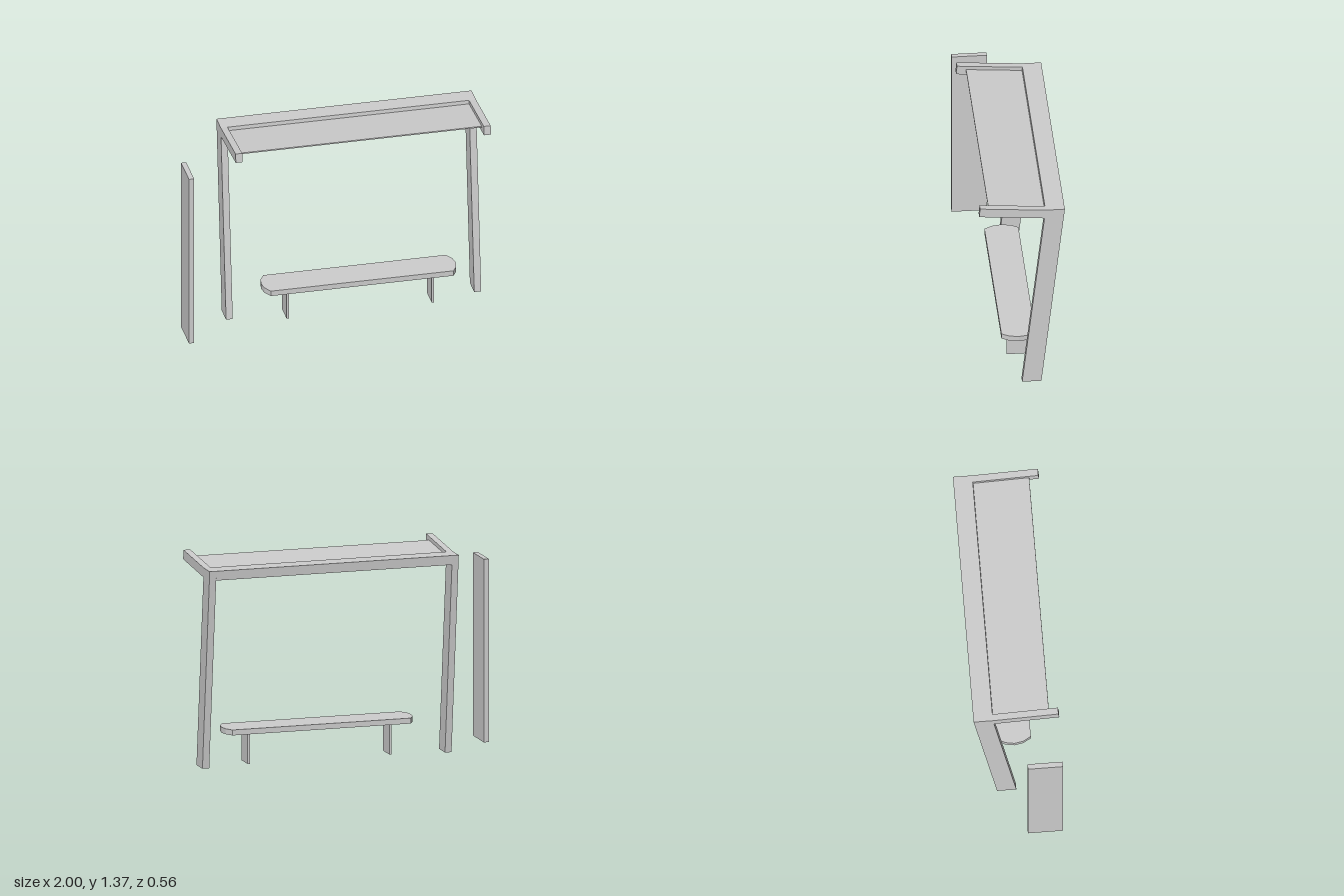
import * as THREE from 'three';

const grey = new THREE.MeshStandardMaterial({ color: 0xcccccc, flatShading: true });

// Extrudes a (z, y) side profile across x0..x1
function profileAlongX(name, points, x0, x1) {
  const shape = new THREE.Shape(points.map(([z, y]) => new THREE.Vector2(z, y)));
  const geometry = new THREE.ExtrudeGeometry(shape, { depth: x1 - x0, bevelEnabled: false });
  geometry.rotateY(-Math.PI / 2).translate(x1, 0, 0);
  const mesh = new THREE.Mesh(geometry, grey);
  mesh.name = name;
  return mesh;
}

// Box given by its minimum and maximum corners
function box(name, [x0, y0, z0], [x1, y1, z1]) {
  const mesh = new THREE.Mesh(new THREE.BoxGeometry(x1 - x0, y1 - y0, z1 - z0), grey);
  mesh.position.set((x0 + x1) / 2, (y0 + y1) / 2, (z0 + z1) / 2);
  mesh.name = name;
  return mesh;
}

// Bench top with shallow curved ends
function benchSeat() {
  const xc = 0.185, zc = 0.005, halfLength = 0.605, halfDepth = 0.11, bulge = 0.04;
  const radius = (halfDepth ** 2 + bulge ** 2) / (2 * bulge);
  const half = Math.asin(halfDepth / radius);
  const points = [];
  const segments = 4;
  for (const side of [1, -1]) {
    for (let i = 0; i <= segments; i++) {
      const a = -half + (2 * half * i) / segments;
      const x = halfLength + bulge - radius + radius * Math.cos(a);
      points.push(new THREE.Vector2(xc + side * x, -zc + side * radius * Math.sin(a)));
    }
  }
  const geometry = new THREE.ExtrudeGeometry(new THREE.Shape(points), { depth: 0.036, bevelEnabled: false });
  geometry.rotateX(-Math.PI / 2).translate(0, 0.205, 0);
  const mesh = new THREE.Mesh(geometry, grey);
  mesh.name = 'benchSeat';
  return mesh;
}

export function createModel() {
  const model = new THREE.Group();
  model.name = 'busShelter';

  // Leaning posts with roof arms, one bent piece on each side
  const bent = [[0, 0.003], [-0.125, 0.003], [-0.277, 1.333], [-0.152, 1.333],
    [0.272, 1.367], [0.278, 1.305], [-0.145, 1.27]];
  const frame = new THREE.Group();
  frame.name = 'frame';
  frame.add(profileAlongX('rightPostAndArm', bent, -0.69, -0.646));
  frame.add(profileAlongX('leftPostAndArm', bent, 0.954, 1));

  // Beam joining the posts along the back
  frame.add(profileAlongX('backBeam',
    [[-0.145, 1.27], [-0.27, 1.27], [-0.277, 1.333], [-0.152, 1.333]], -0.646, 0.954));
  model.add(frame);

  // Thin roof sheet between the arms
  model.add(profileAlongX('roofPanel',
    [[-0.15, 1.3], [-0.15, 1.308], [0.213, 1.337], [0.214, 1.329]], -0.646, 0.954));

  // Bench
  const bench = new THREE.Group();
  bench.name = 'bench';
  bench.add(benchSeat());
  for (const [name, x] of [['rightBenchLeg', -0.297], ['leftBenchLeg', 0.664]]) {
    bench.add(box(name, [x - 0.008, 0, -0.06], [x + 0.008, 0.205, 0.07]));
  }
  model.add(bench);

  // Free-standing sign board
  model.add(box('signBoard', [-1, 0.014, 0.05], [-0.966, 1.222, 0.278]));

  return model;
}
